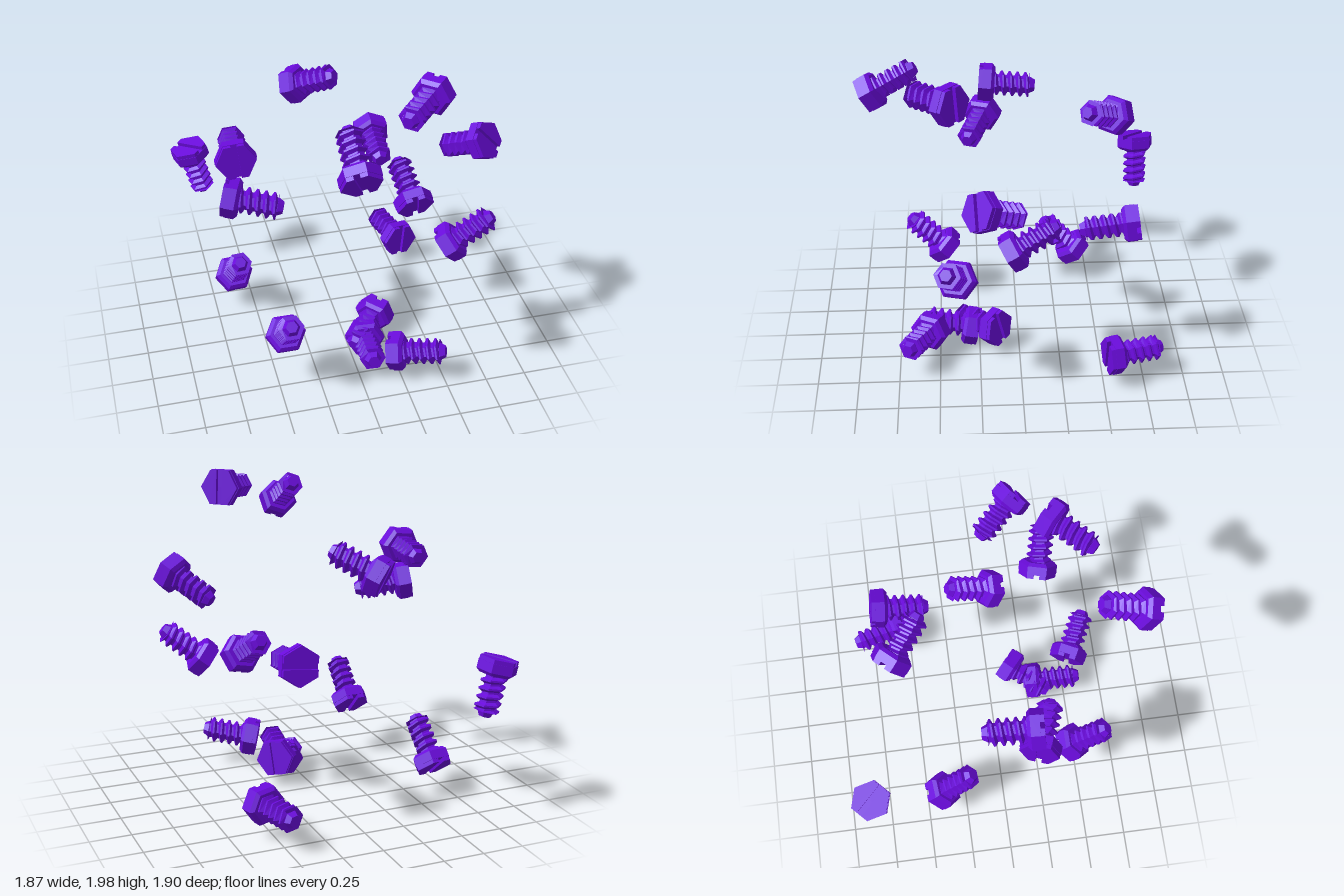
import * as THREE from 'three';
import { mergeGeometries } from 'three/addons/utils/BufferGeometryUtils.js';

const R = 0.122, FLAT = R * Math.sqrt(3) / 2, PITCH = 0.05;

// six-sided frustum between two heights, corners on the local x axis
function hex(rLow, rHigh, y0, y1) {
  return new THREE.CylinderGeometry(rHigh, rLow, y1 - y0, 6)
    .rotateY(Math.PI / 6).translate(0, (y0 + y1) / 2, 0);
}

// one side of the slotted head face
function headHalf(side) {
  const w = 0.018, r = R * 0.97, f = FLAT * 0.97;
  const pts = [[w, -f], [r / 2, -f], [r, 0], [r / 2, f], [w, f]]
    .map(([x, y]) => new THREE.Vector2(x, y));
  const g = new THREE.ExtrudeGeometry(new THREE.Shape(pts), { depth: 0.025, bevelEnabled: false });
  g.rotateX(Math.PI / 2).translate(0, -0.025, 0);
  return side > 0 ? g : g.rotateY(Math.PI);
}

function headGeometry() {
  const parts = [hex(R, R, -0.025, 0.03), hex(R, 0.1, 0.03, 0.05), headHalf(1), headHalf(-1)];
  return mergeGeometries(parts.map(g => g.index ? g.toNonIndexed() : g));
}

// helical thread: a ribbed lathe sheared by one pitch per turn, trimmed at both ends
function threadGeometry() {
  const profile = [];
  for (let k = 0; k < 7; k++) {
    const y = -0.03 + k * PITCH;
    profile.push([0.054, y], [0.054, y + 0.012], [0.08, y + 0.025], [0.08, y + 0.036]);
  }
  const g = new THREE.LatheGeometry(profile.map(p => new THREE.Vector2(...p)), 6);
  const pos = g.attributes.position;
  for (let i = 0; i < pos.count; i++) {
    const turn = Math.floor(i / profile.length) / 6;
    pos.setY(i, THREE.MathUtils.clamp(pos.getY(i) + turn * PITCH, 0.045, 0.27));
  }
  return g.rotateY(Math.PI / 6);
}

export function createModel() {
  const model = new THREE.Group();
  model.name = 'scatteredBolts';
  const material = new THREE.MeshStandardMaterial({ color: 0x6a0bdc, flatShading: true });
  const parts = {
    head: headGeometry(),
    thread: threadGeometry(),
    core: hex(0.053, 0.053, 0.04, 0.272),
    tip: hex(0.053, 0.036, 0.272, 0.305),
  };

  // head centre, tip centre, optional slot direction
  const bolts = [
    [[-0.80, 0.95, -0.82], [-0.73, 0.67, -0.82], [0.7, 0, 0.7]],
    [[-0.62, 0.24, -0.40], [-0.60, 0.48, -0.19]],
    [[-0.65, 1.49, 0.17], [-0.63, 1.47, -0.13], [-0.1, 1, 0]],
    [[-0.69, 1.25, 0.20], [-0.41, 1.20, 0.30]],
    [[-0.45, 0.40, 0.47], [-0.45, 0.62, 0.68]],
    [[-0.10, 1.71, 0.86], [-0.10, 1.86, 0.60], [-0.35, 1, 0]],
    [[-0.14, 1.50, -0.59], [0.07, 1.63, -0.40]],
    [[0.37, 1.05, -0.64], [0.36, 1.01, -0.36], [1, 0.1, 0]],
    [[0.55, 0.22, -0.57], [0.48, 0.22, -0.85], [0.1, 1, 0]],
    [[0.46, 0.94, 0.04], [0.43, 1.08, -0.21], [-0.2, 1, 0]],
    [[0.82, 1.43, 0.23], [0.65, 1.29, 0.01], [-0.7, 0.7, 0]],
    [[0.60, 0.84, 0.38], [0.83, 1.03, 0.44]],
    [[0.44, 1.89, 0.40], [0.23, 1.86, 0.62]],
    [[0.23, 0.20, 0.56], [0.49, 0.25, 0.69]],
    [[0.09, 0.13, 0.31], [0.07, 0.18, 0.59]],
    [[0.19, 0.19, 0.16], [0.00, 0.15, 0.38], [0, 1, 0.3]],
  ];

  bolts.forEach(([from, to, slot = [0, 1, 0]], i) => {
    const a = new THREE.Vector3(...from), b = new THREE.Vector3(...to);
    const axis = b.clone().sub(a).normalize();
    const z = new THREE.Vector3(...slot).projectOnPlane(axis).normalize();
    const x = new THREE.Vector3().crossVectors(axis, z);
    const bolt = new THREE.Group();
    bolt.name = `bolt${i + 1}`;
    bolt.quaternion.setFromRotationMatrix(new THREE.Matrix4().makeBasis(x, axis, z));
    bolt.position.copy(a).add(b).multiplyScalar(0.5).addScaledVector(axis, -0.15);
    for (const [name, geometry] of Object.entries(parts)) {
      const mesh = new THREE.Mesh(geometry, material);
      mesh.name = name;
      bolt.add(mesh);
    }
    model.add(bolt);
  });
  return model;
}
